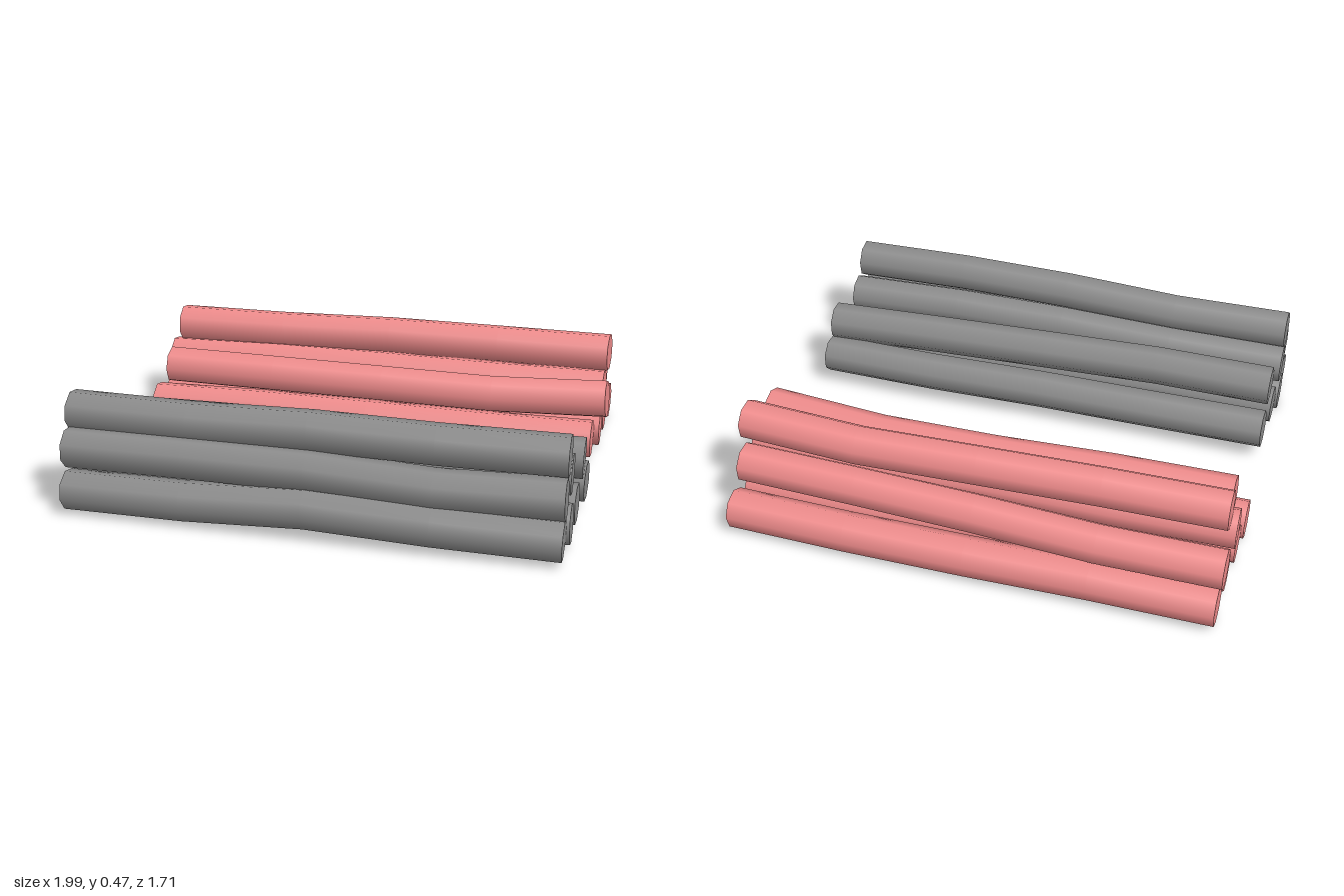
import * as THREE from 'three';

const RADIUS = 0.08;

// One log: an eight-sided cylinder along x whose rings follow the centre points z[i], y[i].
function makeLog(name, material, { ends: [x0, x1], roll, z, y }) {
  const geo = new THREE.CylinderGeometry(RADIUS, RADIUS, 1, 8, 4);
  geo.rotateY(roll);
  geo.rotateZ(-Math.PI / 2);
  const pos = geo.attributes.position;
  for (let i = 0; i < pos.count; i++) {
    const t = pos.getX(i) + 0.5;
    const ring = Math.round(t * 4);
    // tilt each ring so that it stays square to the path
    const a = Math.max(ring - 1, 0), b = Math.min(ring + 1, 4);
    const run = ((b - a) / 4) * (x1 - x0);
    const dy = pos.getY(i), dz = pos.getZ(i);
    const lean = (dy * (y[b] - y[a]) + dz * (z[b] - z[a])) / run;
    pos.setXYZ(i, x0 + t * (x1 - x0) - lean, y[ring] + dy, z[ring] + dz);
  }
  const mesh = new THREE.Mesh(geo, material);
  mesh.name = name;
  return mesh;
}

// Front pile: bottom row, middle row, top log
const frontLogs = [
  { ends: [-0.97, 0.95], roll: 0.2, z: [0.75, 0.76, 0.77, 0.775, 0.765], y: [0.09, 0.095, 0.12, 0.105, 0.095] },
  { ends: [-0.98, 0.96], roll: 0.1, z: [0.615, 0.61, 0.62, 0.635, 0.625], y: [0.082, 0.085, 0.09, 0.092, 0.1] },
  { ends: [-0.97, 0.96], roll: 0.3, z: [0.46, 0.465, 0.455, 0.445, 0.45], y: [0.12, 0.125, 0.12, 0.105, 0.105] },
  { ends: [-0.96, 0.975], roll: 0.4, z: [0.275, 0.28, 0.275, 0.258, 0.27], y: [0.125, 0.12, 0.125, 0.13, 0.125] },
  { ends: [-0.97, 0.95], roll: 0.35, z: [0.725, 0.725, 0.73, 0.74, 0.73], y: [0.255, 0.255, 0.255, 0.235, 0.24] },
  { ends: [-0.98, 0.95], roll: 0.15, z: [0.555, 0.55, 0.565, 0.575, 0.56], y: [0.27, 0.275, 0.28, 0.275, 0.27] },
  { ends: [-0.96, 0.97], roll: 0.45, z: [0.385, 0.385, 0.37, 0.36, 0.345], y: [0.27, 0.275, 0.27, 0.26, 0.25] },
  { ends: [-0.975, 0.95], roll: 0.25, z: [0.65, 0.65, 0.665, 0.68, 0.67], y: [0.38, 0.375, 0.39, 0.388, 0.385] },
];

// Back pile: bottom row, middle row, top log
const backLogs = [
  { ends: [-0.99, 0.94], roll: 0.2, z: [-0.27, -0.275, -0.265, -0.262, -0.262], y: [0.095, 0.1, 0.1, 0.095, 0.095] },
  { ends: [-0.98, 0.96], roll: 0.39, z: [-0.42, -0.425, -0.42, -0.415, -0.42], y: [0.095, 0.105, 0.105, 0.095, 0.092] },
  { ends: [-0.97, 0.96], roll: 0.3, z: [-0.595, -0.6, -0.605, -0.61, -0.605], y: [0.105, 0.105, 0.1, 0.095, 0.092] },
  { ends: [-0.97, 0.965], roll: 0.1, z: [-0.77, -0.77, -0.776, -0.778, -0.77], y: [0.095, 0.095, 0.09, 0.09, 0.09] },
  { ends: [-0.94, 0.99], roll: 0, z: [-0.325, -0.325, -0.337, -0.335, -0.32], y: [0.25, 0.245, 0.235, 0.23, 0.255] },
  { ends: [-0.985, 0.96], roll: 0.2, z: [-0.495, -0.51, -0.505, -0.515, -0.502], y: [0.24, 0.245, 0.245, 0.235, 0.24] },
  { ends: [-0.98, 0.95], roll: 0.3, z: [-0.71, -0.71, -0.69, -0.675, -0.665], y: [0.225, 0.225, 0.235, 0.24, 0.245] },
  { ends: [-0.96, 0.97], roll: 0.25, z: [-0.555, -0.56, -0.58, -0.59, -0.565], y: [0.375, 0.375, 0.38, 0.375, 0.38] },
];

function makePile(name, color, logs) {
  const pile = new THREE.Group();
  pile.name = name;
  const material = new THREE.MeshStandardMaterial({ color });
  logs.forEach((log, i) => pile.add(makeLog(`${name}Log${i + 1}`, material, log)));
  return pile;
}

export function createModel() {
  const model = new THREE.Group();
  model.name = 'logPiles';
  model.add(makePile('frontPile', 0x8c8c8c, frontLogs));
  model.add(makePile('backPile', 0xf08c8c, backLogs));
  return model;
}
